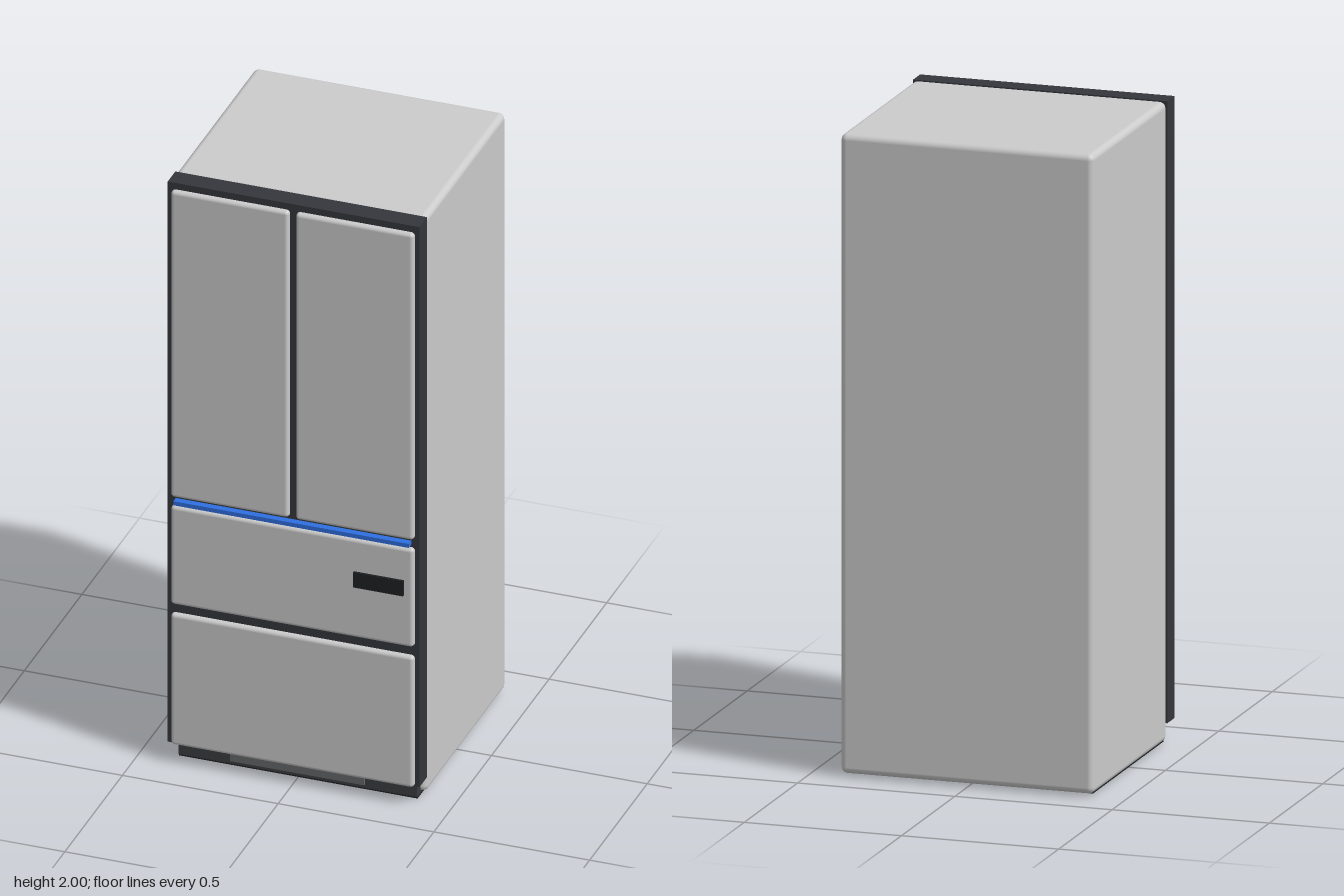
import * as THREE from 'three';
import { RoundedBoxGeometry } from 'three/addons/geometries/RoundedBoxGeometry.js';

export function createModel() {
  const group = new THREE.Group();
  const paint = (color) => new THREE.MeshStandardMaterial({ color });
  const grey = paint(0xcccccc);
  const dark = paint(0x34373c);
  const black = paint(0x1e2023);
  const blue = paint(0x2f6fe0);
  const kick = paint(0x3c3d40);
  const ventGrey = paint(0x66686a);

  // Box given by its extents; a radius rounds the edges
  function block(name, material, [x0, x1], [y0, y1], [z0, z1], radius = 0) {
    const size = [x1 - x0, y1 - y0, z1 - z0];
    const geometry = radius
      ? new RoundedBoxGeometry(...size, 4, radius)
      : new THREE.BoxGeometry(...size);
    const mesh = new THREE.Mesh(geometry, material);
    mesh.name = name;
    mesh.position.set((x0 + x1) / 2, (y0 + y1) / 2, (z0 + z1) / 2);
    group.add(mesh);
  }

  // Cabinet and the dark door frame in front of it
  block('cabinet', grey, [-0.403, 0.403], [0.01, 2], [-0.39, 0.302], 0.02);
  block('doorFrame', dark, [-0.404, 0.404], [0.065, 2], [0.3, 0.366]);

  // Upper pair of doors and two drawers, sunk into the frame
  const panelDepth = [0.34, 0.382];
  block('rightDoor', grey, [-0.39, -0.011], [0.92, 1.978], panelDepth, 0.012);
  block('leftDoor', grey, [0.011, 0.39], [0.92, 1.978], panelDepth, 0.012);
  block('upperDrawer', grey, [-0.39, 0.39], [0.55, 0.89], panelDepth, 0.012);
  block('lowerDrawer', grey, [-0.39, 0.39], [0.065, 0.518], panelDepth, 0.012);

  // Blue light strip and control display
  block('lightStrip', blue, [-0.378, 0.378], [0.898, 0.912], [0.36, 0.388]);
  block('display', black, [0.2, 0.36], [0.728, 0.78], [0.375, 0.39]);

  // Base with toe kick and vent
  block('base', black, [-0.383, 0.383], [0, 0.03], [-0.335, 0.325]);
  block('toeKick', kick, [-0.383, 0.383], [0.006, 0.066], [0.29, 0.328]);
  block('vent', ventGrey, [-0.215, 0.215], [0.018, 0.042], [0.32, 0.335]);

  return group;
}
